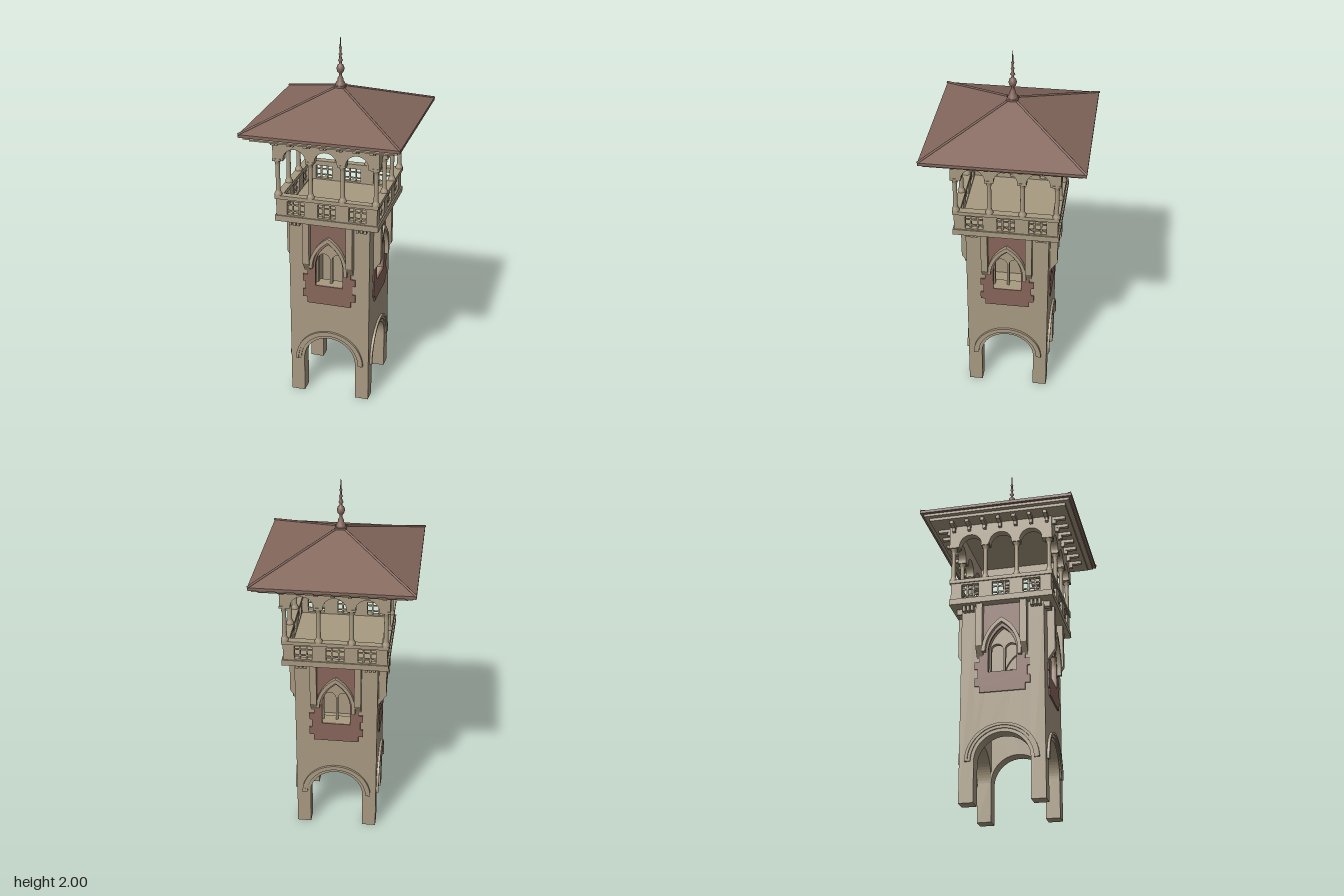
import * as THREE from 'three';

const mat = (name, color) => {
  const m = new THREE.MeshStandardMaterial({ color });
  m.name = name;
  return m;
};

export function createModel() {
  const stone = mat('stone', 0xa89a82);
  const brick = mat('brick', 0x87665b);
  const roofing = mat('roofing', 0x83675c);
  const tower = new THREE.Group();
  tower.name = 'tower';

  const add = (parent, name, geo, material) => {
    const m = new THREE.Mesh(geo, material);
    m.name = name;
    parent.add(m);
    return m;
  };
  // Box from its min and max on each axis
  const box = (parent, name, x0, x1, y0, y1, z0, z1, material = stone) =>
    add(parent, name, new THREE.BoxGeometry(x1 - x0, y1 - y0, z1 - z0)
      .translate((x0 + x1) / 2, (y0 + y1) / 2, (z0 + z1) / 2), material);
  const slab = (name, half, y0, y1, material) =>
    box(tower, name, -half, half, y0, y1, -half, half, material);
  const extrude = (shape, z0, z1) =>
    new THREE.ExtrudeGeometry(shape, { depth: z1 - z0, bevelEnabled: false, curveSegments: 16 })
      .translate(0, 0, z0);
  const poly = (pts, Type = THREE.Shape) => new Type(pts.map(p => new THREE.Vector2(...p)));
  const rect = (x0, x1, y0, y1, Type) => poly([[x0, y0], [x1, y0], [x1, y1], [x0, y1]], Type);

  // Round-headed opening
  const roundArch = (cx, r, y0, spring, Type = THREE.Path) => {
    const p = new Type();
    p.moveTo(cx - r, y0);
    p.lineTo(cx + r, y0);
    p.lineTo(cx + r, spring);
    p.absarc(cx, spring, r, 0, Math.PI, false);
    p.lineTo(cx - r, y0);
    return p;
  };
  // Pointed opening
  const pointedArch = (w, y0, spring, apex, Type = THREE.Path) => {
    const h = apex - spring, R = (w * w + h * h) / (2 * w), a = Math.asin(h / R);
    const p = new Type();
    p.moveTo(-w, y0);
    p.lineTo(w, y0);
    p.lineTo(w, spring);
    p.absarc(w - R, spring, R, 0, a, false);
    p.absarc(R - w, spring, R, Math.PI - a, Math.PI, false);
    p.lineTo(-w, y0);
    return p;
  };
  const halfRing = (r0, r1, y) => {
    const s = new THREE.Shape();
    s.absarc(0, y, r1, 0, Math.PI, false);
    s.absarc(0, y, r0, Math.PI, 0, true);
    return s;
  };

  // Shaft wall with ground arch and window opening
  const wall = poly([[-0.22, 0], [-0.145, 0], [-0.145, 0.21]]);
  wall.absarc(0, 0.21, 0.145, Math.PI, 0, true);
  [[0.145, 0], [0.22, 0], [0.22, 1.06], [-0.22, 1.06]].forEach(p => wall.lineTo(...p));
  wall.holes.push(pointedArch(0.078, 0.68, 0.79, 0.935));
  const wallGeo = extrude(wall, 0.145, 0.22);

  // Brick window surround with stepped quoins
  const edge = [[0.12, 0.57], [0.12, 0.605], [0.145, 0.605], [0.145, 0.65], [0.13, 0.65], [0.13, 0.7],
    [0.145, 0.7], [0.145, 0.74], [0.12, 0.74], [0.12, 0.8], [0.1, 0.8], [0.1, 1.06]];
  const surround = poly([...edge, ...edge.map(([x, y]) => [-x, y]).reverse()]);
  surround.holes.push(pointedArch(0.075, 0.68, 0.79, 0.93));
  const surroundGeo = extrude(surround, 0.215, 0.227);

  // Twin-light tracery
  const tracery = pointedArch(0.08, 0.675, 0.79, 0.94, THREE.Shape);
  [-1, 1].forEach(s => tracery.holes.push(roundArch(s * 0.038, 0.032, 0.68, 0.82)));
  const traceryGeo = extrude(tracery, 0.16, 0.185);

  // Pointed hood over the window
  const hood = pointedArch(0.104, 0.76, 0.79, 0.975, THREE.Shape);
  const hoodHole = pointedArch(0.086, 0.7601, 0.79, 0.95);
  const outer = hood.getPoints(16).slice(1, -1), inner = hoodHole.getPoints(16).slice(1, -1);
  const hoodGeo = extrude(new THREE.Shape([...outer, ...inner.reverse()]), 0.22, 0.25);

  // Strip profile in z,y, turned to run along x
  const stripGeo = extrude(poly([[0.21, 0.75], [0.22, 0.76], [0.26, 0.82], [0.26, 1.06], [0.21, 1.06]]), -0.0175, 0.0175)
    .rotateY(-Math.PI / 2);

  // Gallery parapet with three openings
  const parapet = rect(-0.27, 0.27, 1.09, 1.19);
  const bays = [-0.165, 0, 0.165];
  bays.forEach(x => parapet.holes.push(rect(x - 0.046, x + 0.046, 1.1, 1.175, THREE.Path)));
  const parapetGeo = extrude(parapet, 0.245, 0.27);

  // Arcade wall, scalloped below by three arches
  const arcade = poly([[-0.28, 1.54], [-0.28, 1.4]]);
  bays.forEach(x => {
    arcade.lineTo(x - 0.06, 1.4);
    arcade.absarc(x, 1.408, 0.06, Math.PI, 0, true);
    arcade.lineTo(x + 0.06, 1.4);
  });
  arcade.lineTo(0.28, 1.4);
  arcade.lineTo(0.28, 1.54);
  const arcadeGeo = extrude(arcade, 0.235, 0.28);

  const lathe = (pts, n) => new THREE.LatheGeometry(pts.map(p => new THREE.Vector2(...p)), n);
  const columnGeo = lathe([[0.02, 1.2], [0.02, 1.212], [0.015, 1.222], [0.012, 1.232], [0.011, 1.37],
    [0.014, 1.375], [0.012, 1.38], [0.019, 1.395], [0.019, 1.4]], 16);

  for (let i = 0; i < 4; i++) {
    const side = new THREE.Group();
    side.name = 'side' + (i + 1);
    side.rotation.y = i * Math.PI / 2;
    tower.add(side);

    add(side, 'shaftWall', wallGeo, stone);
    add(side, 'archMouldingInner', extrude(halfRing(0.162, 0.176, 0.21), 0.215, 0.227), stone);
    add(side, 'archMouldingOuter', extrude(halfRing(0.176, 0.19, 0.21), 0.215, 0.233), stone);
    add(side, 'windowSurround', surroundGeo, brick);
    add(side, 'windowTracery', traceryGeo, stone);
    add(side, 'windowHood', hoodGeo, stone);
    for (const s of [-1, 1]) {
      add(side, 'windowStrip', stripGeo, stone).position.x = s * 0.1175;
      // Corbels below the gallery
      for (let k = 0; k < 3; k++) {
        const x = s * (0.16 + k * 0.021);
        box(side, 'galleryCorbel', x - 0.007, x + 0.007, 1.03, 1.06, 0.215, 0.25);
      }
    }

    add(side, 'parapet', parapetGeo, stone);
    box(side, 'parapetRail', -0.277, 0.277, 1.185, 1.205, 0.238, 0.277);
    for (const x of bays) {
      for (const d of [-0.018, 0.018])
        box(side, 'latticeBar', x + d - 0.004, x + d + 0.004, 1.1, 1.175, 0.253, 0.262);
      for (const y of [1.118, 1.152])
        box(side, 'latticeRail', x - 0.046, x + 0.046, y - 0.0035, y + 0.0035, 0.254, 0.261);
    }

    // One corner column and two inner columns per side
    for (const x of [-0.26, -0.085, 0.085]) {
      add(side, 'column', columnGeo, stone).position.set(x, 0, 0.26);
      box(side, 'columnCapital', x - 0.022, x + 0.022, 1.397, 1.41, 0.238, 0.282);
    }
    add(side, 'arcadeWall', arcadeGeo, stone);

    // Eave brackets
    for (let k = -3; k <= 3; k++) {
      const x = k * 0.085;
      box(side, 'eaveBracket', x - 0.01, x + 0.01, 1.51, 1.53, 0.27, 0.35);
      box(side, 'eaveBracketFoot', x - 0.008, x + 0.008, 1.49, 1.512, 0.27, 0.3);
    }

    // Hip ridge
    const hip = new THREE.LineCurve3(new THREE.Vector3(0.413, 1.573, 0.413), new THREE.Vector3(0.028, 1.728, 0.028));
    add(side, 'hipRidge', new THREE.TubeGeometry(hip, 1, 0.006, 8), roofing);
  }

  // Floors and eaves
  slab('shaftCeiling', 0.16, 0.48, 0.5, stone);
  slab('galleryFloor', 0.277, 1.06, 1.092, stone);
  slab('eaveSoffit', 0.37, 1.527, 1.545, stone);
  slab('eaveBoard', 0.395, 1.543, 1.56, stone);
  slab('roofFascia', 0.412, 1.557, 1.573, roofing);

  // Pyramid roof
  const roof = new THREE.CylinderGeometry(0.028 * Math.SQRT2, 0.412 * Math.SQRT2, 0.155, 4)
    .rotateY(Math.PI / 4).translate(0, 1.6505, 0).toNonIndexed();
  roof.computeVertexNormals();
  add(tower, 'roof', roof, roofing);

  // Finial
  slab('finialBase', 0.029, 1.72, 1.737, roofing);
  add(tower, 'finial', lathe([[0.026, 1.737], [0.024, 1.75], [0.016, 1.76], [0.014, 1.775], [0.008, 1.785],
    [0.008, 1.8], [0.016, 1.808], [0.021, 1.825], [0.016, 1.842], [0.007, 1.85], [0.007, 1.86], [0.013, 1.868],
    [0.007, 1.877], [0.006, 1.893], [0.01, 1.9], [0.005, 1.908], [0.005, 1.925], [0.008, 1.932], [0.004, 1.94],
    [0.003, 1.97], [0, 2]], 20), roofing);

  return tower;
}
